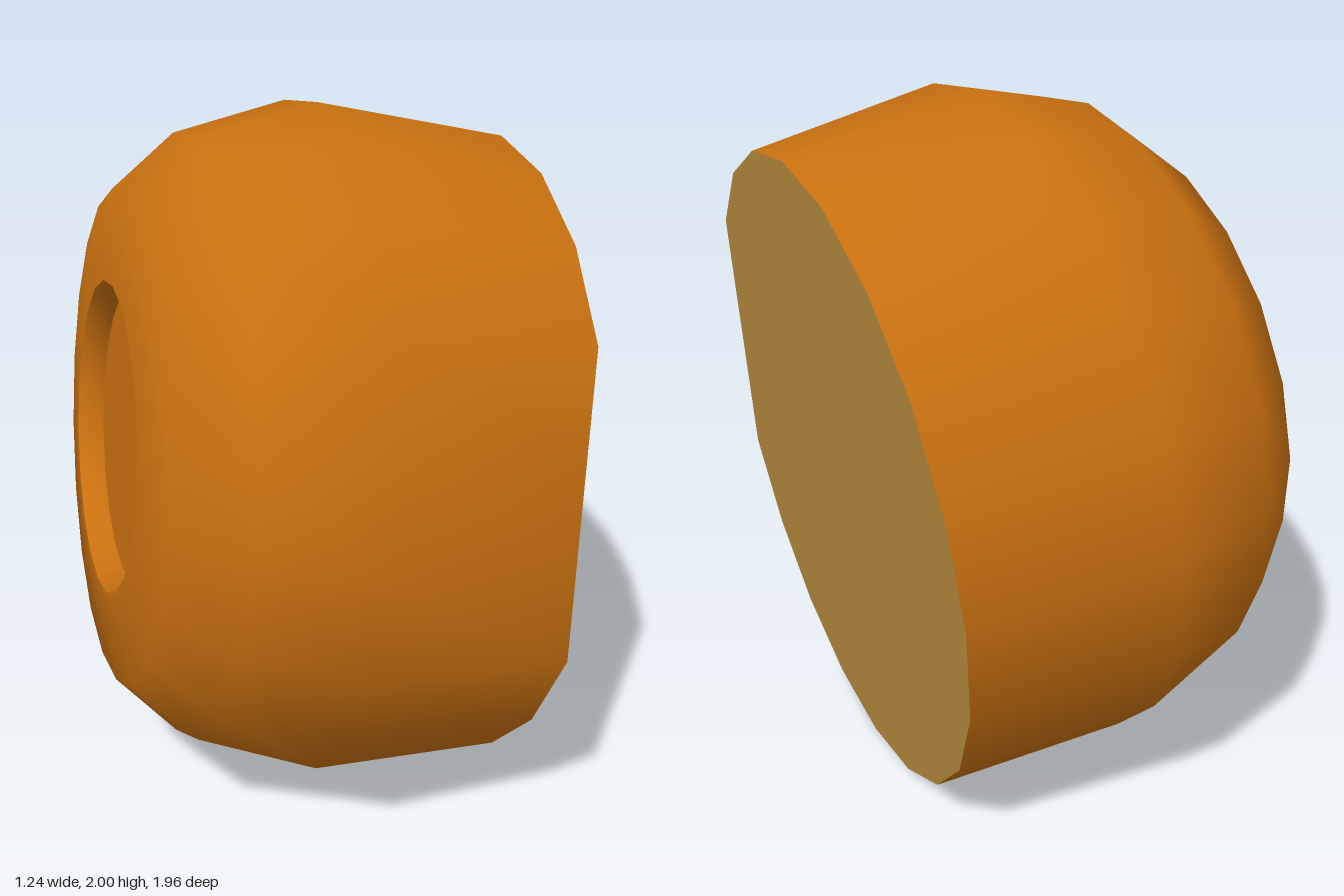
import * as THREE from 'three';

const SIDES = 20;

// Point j of a ring lying across the wheel axis (local x)
function ringPoint({ x, lift = 0, ry, rz = ry, flat = false }, j) {
  const at = k => {
    const t = (k / SIDES) * Math.PI * 2;
    return new THREE.Vector3(x, lift + ry * Math.cos(t), rz * Math.sin(t));
  };
  const k = j % SIDES;
  // the front edge of the mounting face is cut straight between corners 3 and 6
  if (flat && k > 3 && k < 6) return at(3).lerp(at(6), (k - 3) / 3);
  return at(k);
}

// Skin through successive rings, with smooth normals
function loft(name, rings, material) {
  const pos = [], index = [];
  for (const ring of rings)
    for (let j = 0; j < SIDES; j++) pos.push(...ringPoint(ring, j).toArray());
  for (let i = 0; i < rings.length - 1; i++)
    for (let j = 0; j < SIDES; j++) {
      const n = (j + 1) % SIDES;
      const a = i * SIDES + j, b = a + SIDES, c = i * SIDES + n, d = c + SIDES;
      if (rings[i].ry > 0) index.push(a, b, c);
      if (rings[i + 1].ry > 0) index.push(c, b, d);
    }
  const geo = new THREE.BufferGeometry();
  geo.setAttribute('position', new THREE.Float32BufferAttribute(pos, 3));
  geo.setIndex(index);
  geo.computeVertexNormals();
  const mesh = new THREE.Mesh(geo, material);
  mesh.name = name;
  return mesh;
}

export function createModel() {
  const orange = new THREE.MeshStandardMaterial({ color: 0xc87010 });
  const tan = new THREE.MeshStandardMaterial({ color: 0xb88c3e });
  const lift = 0.03;

  const edge = { x: 0, ry: 0.94, rz: 0.91, flat: true };
  const rim = { x: -1.105, lift, ry: 0.45 };
  const well = { x: -1.03, lift, ry: 0.425 };

  const wheel = new THREE.Group();
  wheel.name = 'wheel';
  wheel.add(
    // flat mounting face
    loft('mountingFace', [{ x: 0, ry: 0, flat: true }, edge], tan),
    // rounded tread and shoulder
    loft('tire', [
      edge,
      { x: -0.566, lift, ry: 0.98 },
      { x: -0.9, lift, ry: 0.872 },
      { x: -1.078, lift, ry: 0.708 },
      rim,
    ], orange),
    // shallow hub recess
    loft('hubWall', [rim, { x: -1.07, lift, ry: 0.43 }, well], orange),
    loft('hubFloor', [well, { x: -1.03, lift, ry: 0 }], orange),
  );

  // lean of the axle
  wheel.position.set(0.525, 0.937, 0);
  wheel.rotation.z = -0.1;

  const model = new THREE.Group();
  model.name = 'leaningWheel';
  model.add(wheel);
  return model;
}
